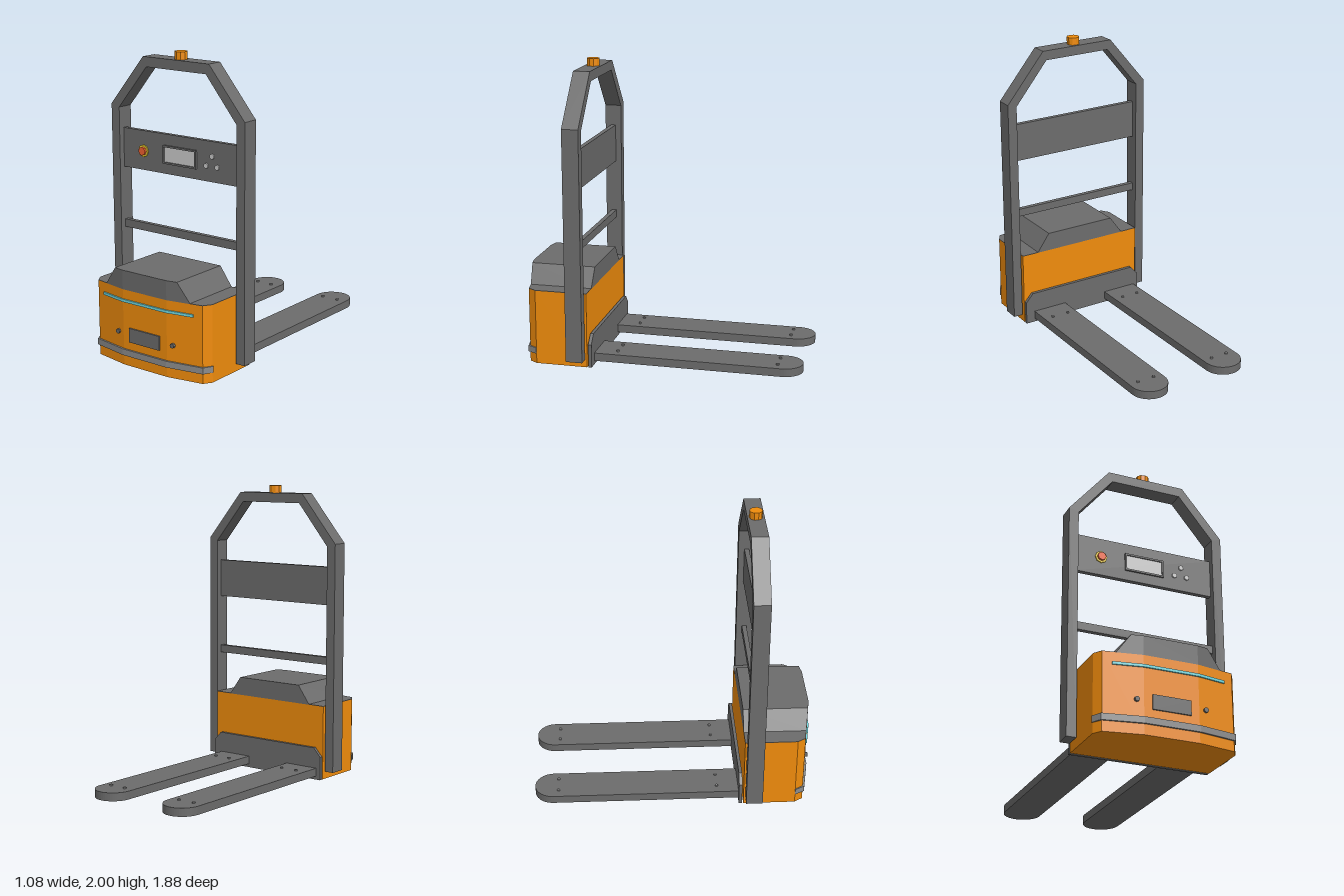
import * as THREE from 'three';

const mat = (color) => new THREE.MeshStandardMaterial({ color, flatShading: true });
const orange = mat(0xf08c0c), dark = mat(0x6c6c6c), grey = mat(0x8c8c8c), light = mat(0xcccccc);
const cyan = mat(0x70d8e0), yellow = mat(0xf0d030), red = mat(0xf06030);

export function createModel() {
  const model = new THREE.Group();

  const add = (name, geometry, material, x = 0, y = 0, z = 0) => {
    const mesh = new THREE.Mesh(geometry, material);
    mesh.name = name;
    mesh.position.set(x, y, z);
    model.add(mesh);
    return mesh;
  };
  // box given by its limits on each axis
  const box = (name, material, x0, x1, y0, y1, z0, z1) =>
    add(name, new THREE.BoxGeometry(x1 - x0, y1 - y0, z1 - z0), material,
      (x0 + x1) / 2, (y0 + y1) / 2, (z0 + z1) / 2);
  // short cylinder facing the front
  const disc = (name, material, r, sides, x, y, z0, z1) => {
    const g = new THREE.CylinderGeometry(r, r, z1 - z0, sides).rotateX(Math.PI / 2);
    return add(name, g, material, x, y, (z0 + z1) / 2);
  };
  const polygon = (points) => new THREE.Shape(points.map(([x, y]) => new THREE.Vector2(x, y)));
  const extrude = (shape, depth) =>
    new THREE.ExtrudeGeometry(shape, { depth, bevelEnabled: false, curveSegments: 12 });
  // extrude a floor plan of [x, z] points upward
  const slab = (plan, height) =>
    extrude(polygon(plan.map(([x, z]) => [x, -z])), height).rotateX(-Math.PI / 2);
  // complete a half outline by mirroring it in x
  const mirror = (half) => [...half, ...half.map(([x, y]) => [-x, y]).reverse()];

  // drive unit housing
  const plan = mirror([[0.465, 0.478], [0.465, 0.83], [0.43, 0.885], [0.18, 0.93]]);
  add('housing', slab(plan, 0.508), orange);
  add('housingLid', slab(plan, 0.003), dark, 0, 0.508, 0);

  // hood with sloping sides, following the housing's front
  const hood = slab(mirror([[0.345, 0.478], [0.345, 0.9], [0.18, 0.93]]), 0.125);
  const p = hood.attributes.position;
  for (let i = 0; i < p.count; i++) {
    if (p.getY(i) > 0.1 && Math.abs(p.getX(i)) > 0.3) {
      p.setX(i, Math.sign(p.getX(i)) * 0.255);
      if (p.getZ(i) > 0.8) p.setZ(i, 0.9165);
    }
  }
  hood.computeVertexNormals();
  add('hood', hood, dark, 0, 0.51, 0);

  // bumper and light strip wrapped round the front
  add('bumper', slab(mirror([[0.45, 0.83], [0.472, 0.83], [0.438, 0.895], [0.182, 0.943]]), 0.042),
    grey, 0, 0.068, 0);
  add('lightStrip', slab(mirror([[0.37, 0.885], [0.37, 0.905], [0.18, 0.94]]), 0.018),
    cyan, 0, 0.427, 0);

  // front sensor plate and knobs
  box('sensorPlate', dark, -0.127, 0.124, 0.165, 0.26, 0.92, 0.94);
  for (const x of [-0.225, 0.225]) disc('frontSensor', dark, 0.016, 8, x, 0.218, 0.91, 0.937);

  // fork carriage with clipped upper corners
  const carriage = mirror([[0.465, 0], [0.465, 0.16], [0.41, 0.22]]);
  add('forkCarriage', extrude(polygon(carriage), 0.022), dark, 0, 0, 0.447);

  // forks with round tips and bolts
  for (const x of [-0.307, 0.275]) {
    const fork = new THREE.Shape();
    fork.moveTo(-0.125, -0.45);
    fork.lineTo(0.125, -0.45);
    fork.lineTo(0.125, 0.815);
    fork.absarc(0, 0.815, 0.125, 0, Math.PI, false);
    fork.closePath();
    add('fork', extrude(fork, 0.055).rotateX(-Math.PI / 2), dark, x, 0.025, 0);
    for (const dx of [-0.06, 0.06]) for (const z of [-0.78, 0.3]) {
      add('forkBolt', new THREE.CylinderGeometry(0.01, 0.01, 0.02, 8), grey, x + dx, 0.08, z);
    }
  }

  // upright guard frame
  const frame = mirror([[0.475, 0.055], [0.54, 0.055], [0.54, 1.62], [0.265, 1.95]]);
  const inner = [[-0.24, 1.885], [0.24, 1.885], [0.475, 1.6]];
  const outline = [...frame, [-0.475, 1.6], ...inner];
  add('guardFrame', extrude(polygon(outline), 0.112), dark, 0, 0, 0.49);

  // cross members
  box('controlPanel', dark, -0.476, 0.476, 1.2, 1.46, 0.53, 0.562);
  box('crossBar', dark, -0.476, 0.476, 0.79, 0.843, 0.53, 0.562);

  // display with raised rim
  const rim = polygon([[-0.138, 1.267], [0.134, 1.267], [0.134, 1.388], [-0.138, 1.388]]);
  rim.holes.push(polygon([[-0.126, 1.279], [-0.126, 1.376], [0.122, 1.376], [0.122, 1.279]]));
  add('displayRim', extrude(rim, 0.014), dark, 0, 0, 0.56);
  box('display', light, -0.126, 0.122, 1.279, 1.376, 0.558, 0.566);

  // emergency stop and push buttons
  disc('stopCollar', yellow, 0.041, 8, -0.304, 1.327, 0.56, 0.57);
  disc('stopButton', red, 0.028, 8, -0.304, 1.327, 0.56, 0.585);
  for (const [x, y] of [[0.26, 1.365], [0.212, 1.3], [0.3, 1.3]]) {
    disc('pushButton', light, 0.018, 6, x, y, 0.56, 0.572);
  }

  // beacon on top of the frame
  add('beacon', new THREE.CylinderGeometry(0.043, 0.043, 0.052, 10), orange, 0, 1.974, 0.545);

  return model;
}
